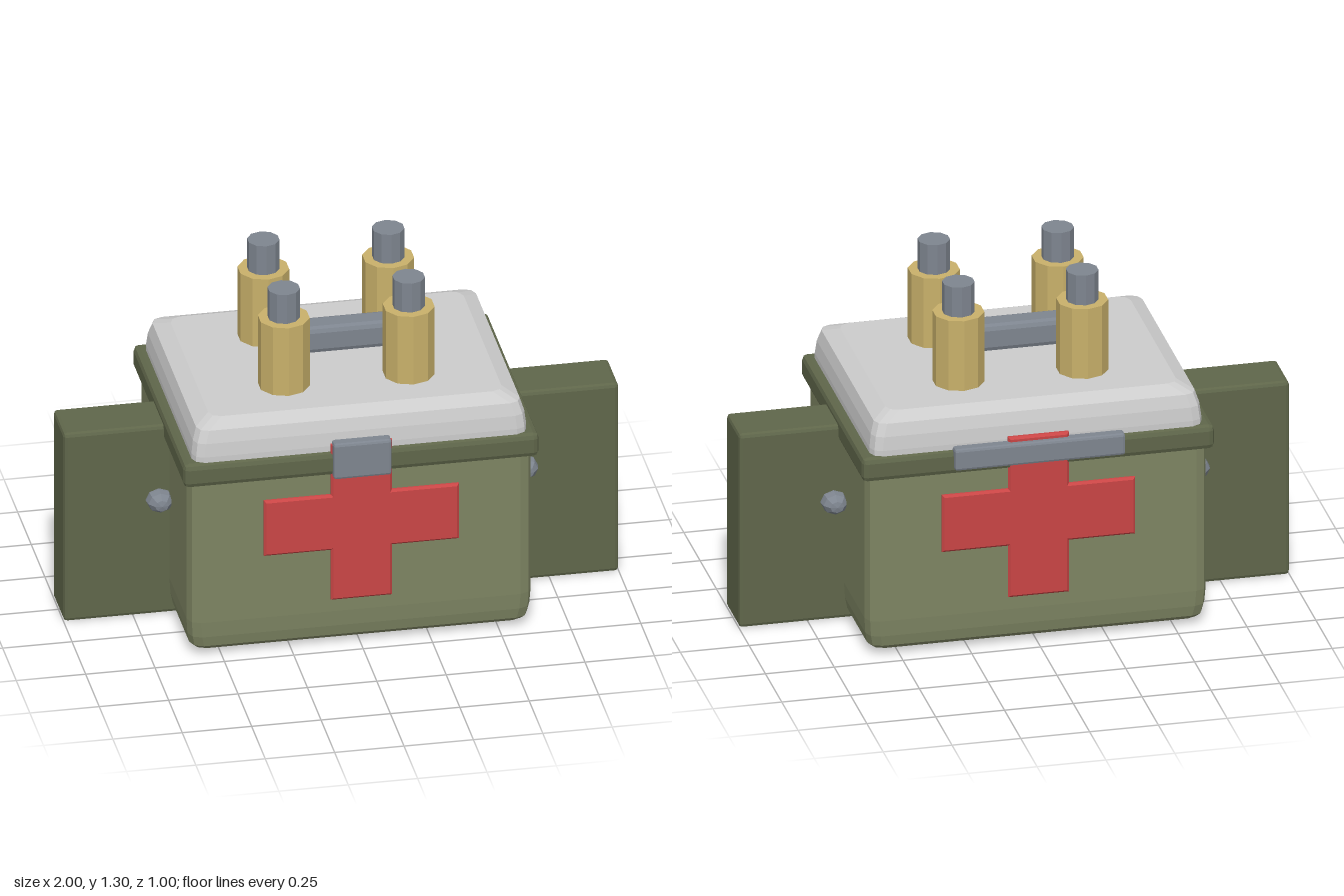
import * as THREE from 'three';
import { RoundedBoxGeometry } from 'three/addons/geometries/RoundedBoxGeometry.js';

const paint = (color) => new THREE.MeshStandardMaterial({ color, flatShading: true });

// Stacked rounded rectangles; rings are [y, inset] from bottom to top
function loft(hx, hz, r, rings) {
  const pos = [], idx = [], seg = 2, n = 4 * (seg + 1);
  for (const [y, inset] of rings) {
    for (let k = 0; k < 4; k++) {
      const sx = k === 0 || k === 3 ? 1 : -1, sz = k < 2 ? 1 : -1;
      for (let s = 0; s <= seg; s++) {
        const a = (k + s / seg) * Math.PI / 2;
        pos.push(sx * (hx - inset - r) + r * Math.cos(a), y, sz * (hz - inset - r) + r * Math.sin(a));
      }
    }
  }
  const last = (rings.length - 1) * n, bottom = rings.length * n, top = bottom + 1;
  pos.push(0, rings[0][0], 0, 0, rings[rings.length - 1][0], 0);
  for (let j = 0; j < n; j++) {
    const q = (j + 1) % n;
    for (let i = 0; i < last; i += n) {
      idx.push(i + j, i + n + j, i + q, i + q, i + n + j, i + n + q);
    }
    idx.push(bottom, j, q, top, last + q, last + j);
  }
  const g = new THREE.BufferGeometry();
  g.setAttribute('position', new THREE.Float32BufferAttribute(pos, 3));
  g.setIndex(idx);
  g.computeVertexNormals();
  return g;
}

export function createModel() {
  const group = new THREE.Group();
  const green = paint(0x7d8462), darkGreen = paint(0x5f664a), red = paint(0xc94545);
  const white = paint(0xe2e3e5), brass = paint(0xc8b06a), steel = paint(0x7e858f);

  const add = (name, geometry, material, x = 0, y = 0, z = 0) => {
    const m = new THREE.Mesh(geometry, material);
    m.name = name;
    m.position.set(x, y, z);
    group.add(m);
    return m;
  };
  // Bevelled box from its height range and centre
  const box = (name, mat, w, y0, y1, d, bevel, z = 0) =>
    add(name, new RoundedBoxGeometry(w, y1 - y0, d, 1, bevel), mat, 0, (y0 + y1) / 2, z);

  // Case, side slab, rim and lid
  add('body', loft(0.62, 0.46, 0.045, [[0.025, 0.025], [0.04, 0.012], [0.08, 0.004], [0.14, 0], [0.75, 0]]), green);
  box('sideSlab', darkGreen, 2, 0, 0.75, 0.2, 0.014);
  box('rim', darkGreen, 1.28, 0.688, 0.78, 0.952, 0.02);
  add('lid', loft(0.603, 0.459, 0.04, [[0.74, 0], [0.8, 0], [0.85, 0.006], [0.895, 0.02], [0.92, 0.075]]), white);

  // Red crosses on both faces
  const w = 0.102, a = 0.343, c = 0.102, v = 0.302;
  const cross = new THREE.Shape([
    [-w, -v], [w, -v], [w, -c], [a, -c], [a, c], [w, c],
    [w, v], [-w, v], [-w, c], [-a, c], [-a, -c], [-w, -c],
  ].map(([x, y]) => new THREE.Vector2(x, y)));
  const crossGeo = new THREE.ExtrudeGeometry(cross, {
    depth: 0.028, bevelEnabled: true, bevelSize: 0.008, bevelThickness: 0.008, bevelSegments: 1,
  });
  add('frontCross', crossGeo, red, 0, 0.5, 0.439);
  add('backCross', crossGeo, red, 0, 0.5, -0.439).rotation.y = Math.PI;

  // Front clasp and back hinge
  box('clasp', steel, 0.21, 0.682, 0.823, 0.05, 0.01, 0.472);
  box('hinge', steel, 0.62, 0.71, 0.793, 0.05, 0.01, -0.473);

  // Carrying bar above the lid
  box('handle', steel, 0.5, 0.952, 1.055, 0.1, 0.02);

  // Pins passing through the side slab
  const pinGeo = new THREE.LatheGeometry([
    [0, -0.165], [0.025, -0.16], [0.044, -0.135], [0.048, -0.11],
    [0.048, 0.11], [0.044, 0.135], [0.025, 0.16], [0, 0.165],
  ].map(([x, y]) => new THREE.Vector2(x, y)), 8);
  pinGeo.rotateX(Math.PI / 2).scale(1, 0.86, 1);

  // Four terminals with steel tips
  const postGeo = new THREE.CylinderGeometry(0.0925, 0.0925, 0.31, 10);
  const tipGeo = new THREE.CylinderGeometry(0.058, 0.058, 0.155, 10);
  for (const s of [-1, 1]) {
    add('pin', pinGeo, steel, s * 0.658, 0.46, 0);
    for (const t of [-1, 1]) {
      add('terminalPost', postGeo, brass, s * 0.225, 1.035, t * 0.188);
      add('terminalTip', tipGeo, steel, s * 0.225, 1.2275, t * 0.188);
    }
  }
  return group;
}
